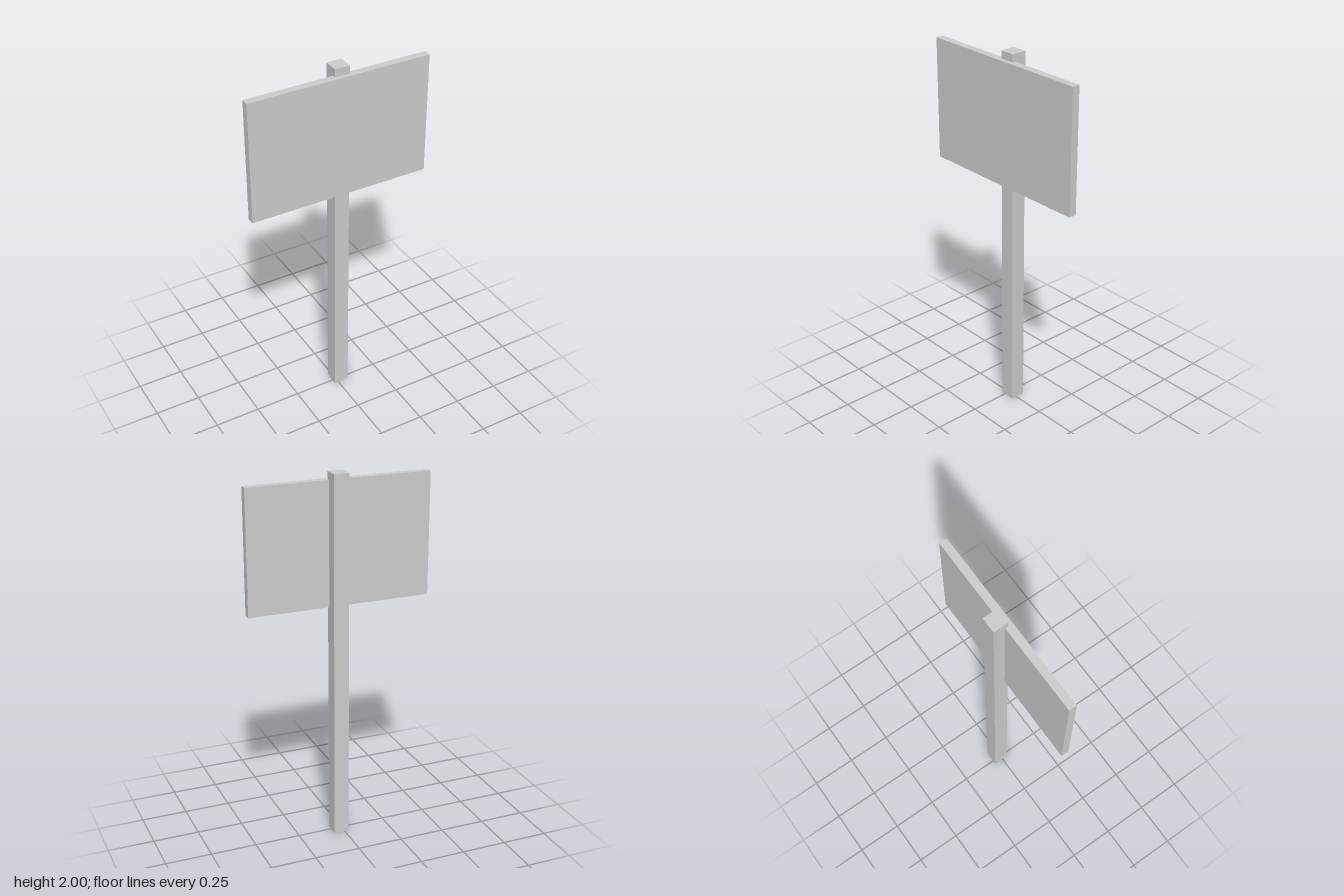
import * as THREE from 'three';

const material = new THREE.MeshStandardMaterial({ color: 0xcccccc, flatShading: true });

// Box given by its lower and upper corners
function block(name, min, max) {
  const size = max.map((v, i) => v - min[i]);
  const mesh = new THREE.Mesh(new THREE.BoxGeometry(...size), material);
  mesh.position.set(...min.map((v, i) => v + size[i] / 2));
  mesh.name = name;
  return mesh;
}

export function createModel() {
  const group = new THREE.Group();
  group.name = 'signpost';

  // Square post, slightly off centre and rising just above the board
  group.add(block('post', [-0.022, 0, -0.053], [0.061, 2, 0.029]));

  // Flat board, let into the front of the post
  group.add(block('board', [-0.5, 1.296, 0.011], [0.5, 1.959, 0.053]));

  return group;
}
